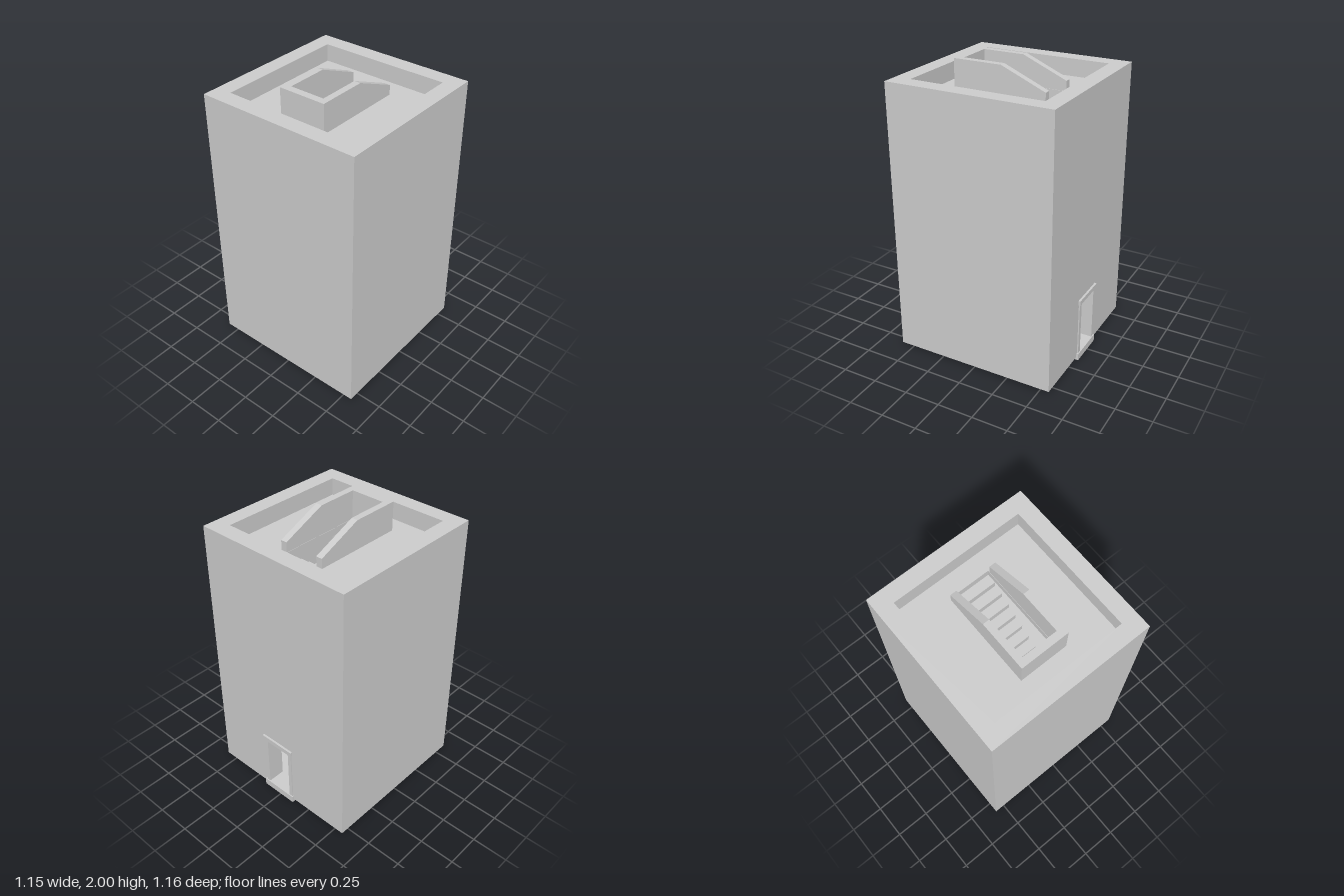
import * as THREE from 'three';

export function createModel() {
  const model = new THREE.Group();
  const concrete = new THREE.MeshStandardMaterial({ color: 0xcccccc });
  concrete.name = 'concrete grey';

  const add = (name, geometry) => {
    const mesh = new THREE.Mesh(geometry, concrete);
    mesh.name = name;
    model.add(mesh);
    return mesh;
  };
  // Box given by its lower and upper limits on each axis
  const box = (name, x0, x1, y0, y1, z0, z1) => {
    const g = new THREE.BoxGeometry(x1 - x0, y1 - y0, z1 - z0);
    g.translate((x0 + x1) / 2, (y0 + y1) / 2, (z0 + z1) / 2);
    return add(name, g);
  };
  const polygon = (pts) => new THREE.Shape(pts.map(([x, y]) => new THREE.Vector2(x, y)));
  const rect = (x0, x1, y0, y1) => polygon([[x0, y0], [x1, y0], [x1, y1], [x0, y1]]);
  const extrude = (shape, depth) => new THREE.ExtrudeGeometry(shape, { depth, bevelEnabled: false });
  // Plan shape (x, -z) raised from y0 to y1
  const plan = (name, shape, y0, y1) =>
    add(name, extrude(shape, y1 - y0).rotateX(-Math.PI / 2).translate(0, y0, 0));
  // Side profile (z, y) running from x0 to x1
  const profile = (name, pts, x0, x1) =>
    add(name, extrude(polygon(pts.map(([z, y]) => [-z, y])), x1 - x0).rotateY(Math.PI / 2).translate(x0, 0, 0));

  const W = 0.575, IN = 0.462, BACK = -0.57, FRONT = 0.58, IN_BACK = -0.455, IN_FRONT = 0.467;
  const BASE = 0.02, TOP = 1.92, ROOF = 1.8, FLOOR = 1.33;

  // Outer walls: U-shaped front and sides, back wall with a doorway
  plan('frontAndSideWalls', polygon([
    [-W, -IN_BACK], [-W, -FRONT], [W, -FRONT], [W, -IN_BACK],
    [IN, -IN_BACK], [IN, -IN_FRONT], [-IN, -IN_FRONT], [-IN, -IN_BACK],
  ]), BASE, TOP);
  const backWall = rect(-W, W, BASE, TOP);
  backWall.holes.push(rect(-0.085, 0.11, 0.05, 0.44));
  add('backWall', extrude(backWall, IN_BACK - BACK).translate(0, 0, BACK));

  // Floors, with a stairwell opening through the roof
  box('groundFloor', -IN, IN, BASE, 0.04, IN_BACK, IN_FRONT);
  box('upperFloor', -IN, IN, FLOOR - 0.04, FLOOR, IN_BACK, IN_FRONT);
  const roof = rect(-IN, IN, -IN_FRONT, -IN_BACK);
  roof.holes.push(rect(-0.122, 0.12, -0.285, 0.322));
  plan('roofDeck', roof, ROOF - 0.05, ROOF);

  // Stair flight, going down towards the front
  const steps = 9, run = 0.0655, rise = (ROOF - FLOOR) / (steps + 1);
  const stair = [[-0.32, FLOOR]];
  for (let i = 0; i < steps; i++) {
    const y = ROOF - rise * (i + 1);
    stair.push([-0.32 + run * i, y], [-0.32 + run * (i + 1), y]);
  }
  stair.push([-0.32 + run * steps, FLOOR]);
  profile('stairFlight', stair, -0.121, 0.119);

  // Stairwell parapet: sloping sides and a front wall
  const cheek = [[-0.31, ROOF], [-0.31, 1.868], [0, 2], [0.29, 2], [0.29, ROOF]];
  profile('stairwellWall', cheek, -0.17, -0.125);
  profile('stairwellWall', cheek, 0.122, 0.167);
  box('stairwellFrontWall', -0.17, 0.167, ROOF, 2, 0.29, 0.34);

  // Door surround
  box('doorSill', -0.12, 0.15, 0, 0.05, -0.585, -0.54);
  box('doorLintel', -0.12, 0.15, 0.44, 0.472, -0.585, BACK);
  for (const [x0, x1] of [[-0.112, -0.085], [0.11, 0.14]]) {
    box('doorJamb', x0, x1, 0.05, 0.44, -0.578, BACK);
  }
  return model;
}
